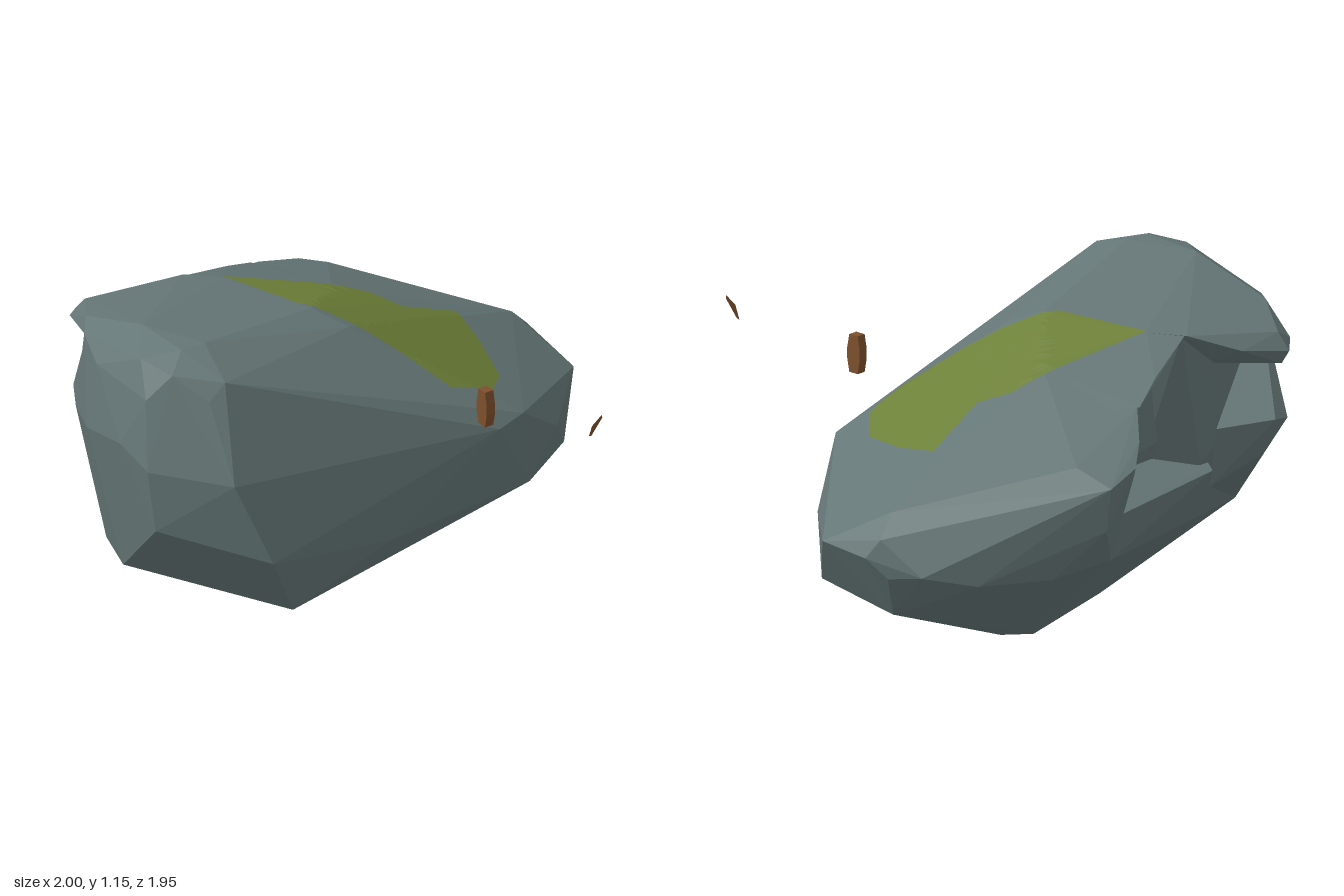
import * as THREE from 'three';
import { ConvexGeometry } from 'three/addons/geometries/ConvexGeometry.js';

const material = (name, color, extra = {}) => Object.assign(new THREE.MeshStandardMaterial({ color, ...extra }), { name });

// Faceted stone block spanning a few corner points
function block(name, points, mat) {
  const mesh = new THREE.Mesh(new ConvexGeometry(points.map(p => new THREE.Vector3(...p))), mat);
  mesh.name = name;
  return mesh;
}

// Thin patch laid over the stone: an outline in x, z filled with rings and dropped onto the surface
function drape(outline, center, rings, targets, lift) {
  const rim = [];
  outline.forEach(([x, z], i) => {
    const [nx, nz] = outline[(i + 1) % outline.length];
    for (let k = 0; k < 6; k++) rim.push([x + (nx - x) * k / 6, z + (nz - z) * k / 6]);
  });
  const ray = new THREE.Raycaster();
  const down = new THREE.Vector3(0, -1, 0);
  const n = rim.length, pos = [], index = [];
  for (let r = 0; r <= rings; r++) for (const [x, z] of rim) {
    const t = r / rings;
    const px = center[0] + (x - center[0]) * t, pz = center[1] + (z - center[1]) * t;
    ray.set(new THREE.Vector3(px, 3, pz), down);
    const hit = ray.intersectObjects(targets)[0];
    pos.push(px, (hit ? hit.point.y : 0.8) + lift, pz);
  }
  for (let r = 0; r < rings; r++) for (let i = 0; i < n; i++) {
    const j = (i + 1) % n, a = r * n + i, b = r * n + j, c = a + n, d = b + n;
    if (r > 0) index.push(a, b, c);
    index.push(b, d, c);
  }
  const geo = new THREE.BufferGeometry();
  geo.setAttribute('position', new THREE.Float32BufferAttribute(pos, 3));
  geo.setIndex(index);
  const flat = geo.toNonIndexed();
  flat.computeVertexNormals();
  return flat;
}

export function createModel() {
  const group = new THREE.Group();
  const stone = material('stone', 0x657676);
  const moss = material('moss', 0x6d8038, { side: THREE.DoubleSide });
  const wood = material('wood', 0x7d502c);

  const rock = new THREE.Group();
  rock.name = 'rock';
  group.add(rock);

  // Corners shared by neighbouring blocks so that their facets run on
  const leftSide = [
    [-0.72, 1.14, -0.48], [-0.78, 1.15, -0.25], [-0.87, 1.11, -0.36], [-0.89, 1.11, -0.2], [-0.95, 1.01, -0.27],
    [-1, 0.76, -0.22], [-0.98, 0.52, -0.2], [-0.86, 0.24, -0.45], [-0.6, 0.15, 0.11],
  ];
  const rightSide = [
    [0.87, 0.21, -0.14], [0.98, 0.38, -0.18], [1, 0.45, -0.1], [0.98, 0.52, -0.15], [0.97, 0.4, -0.31],
  ];
  const underside = [[-0.21, 0, -0.3], [0.34, 0, -0.28], [0.3, 0.01, -0.39], [-0.2, 0.01, -0.38]];
  const backRim = [[0.85, 0.36, -0.47], [0.66, 0.36, -0.66], [0.45, 0.39, -0.78]];
  const flankFoot = [[-0.86, 0.24, -0.45], [-0.75, 0.24, -0.62]];

  // Main mass: front, crest and right end
  rock.add(block('body', [
    ...leftSide, ...rightSide, ...underside,
    [0.2, 0.63, 0.385], [0.33, 0.64, 0.385], [-0.23, 0.32, 0.25],
    [0.44, 0.29, 0.32], [0.6, 0.44, 0.31], [0.93, 0.46, 0.11], [0.77, 0.26, 0.2],
    [0.9, 0.6, -0.15], [0.16, 0.95, -0.35], [0.62, 0.73, -0.2], [-0.13, 1.05, -0.2], [-0.14, 1.03, -0.6],
    [-0.08, 1, -0.07], [-0.69, 1.15, -0.22], [-0.78, 1.09, -0.05], [-0.84, 1.03, -0.07],
    [-0.87, 0.75, 0.07], [-0.77, 0.43, 0.165], [-0.6, 0.6, -0.6], [0.6, 0.6, -0.6], [0, 0.7, -0.53], [0.3, 0.86, -0.58],
  ], stone));

  // Sloping foot of the back, with the ledge under the hollow
  rock.add(block('base', [
    ...underside, ...backRim, ...flankFoot,
    [-0.6, 0.15, 0.11], [-0.95, 0.5, -0.25], [0.87, 0.21, -0.14], [0.97, 0.4, -0.31],
    [0.4, 0.55, -0.8], [0.2, 0.5, -0.77], [-0.2, 0.5, -0.74], [-0.35, 0.48, -0.75], [0, 0.58, -0.5],
  ], stone));

  // Broad flank, overhanging horn and lower spur at the back
  rock.add(block('backFlank', [
    ...leftSide, ...flankFoot,
    [-0.88, 0.75, -0.6], [-0.96, 0.8, -0.38], [-0.75, 0.72, -0.76], [-0.85, 1, -0.58], [-0.74, 1.02, -0.73],
    [-0.6, 1.03, -0.74], [-0.5, 0.7, -0.73], [-0.36, 0.8, -0.66], [-0.35, 0.5, -0.7], [-0.2, 1.02, -0.71],
    [-0.13, 1.05, -0.2], [-0.14, 1.03, -0.6], [-0.2, 0.01, -0.38],
  ], stone));
  rock.add(block('horn', [
    [-0.57, 0.94, -0.94], [-0.49, 0.92, -0.98], [-0.49, 0.87, -0.95], [-0.5, 0.98, -0.93], [-0.33, 0.95, -0.88],
    [-0.74, 1.02, -0.73], [-0.62, 0.88, -0.76], [-0.2, 1.02, -0.73], [-0.66, 1.035, -0.79], [-0.72, 1.14, -0.48],
    [-0.14, 1.03, -0.6], [-0.4, 0.86, -0.72],
  ], stone));
  rock.add(block('lowerSpur', [
    [-0.55, 0.65, -0.94], [-0.48, 0.66, -0.93], [-0.5, 0.52, -0.87], [-0.75, 0.72, -0.76], [-0.34, 0.64, -0.77],
    [-0.35, 0.42, -0.74], [-0.75, 0.24, -0.62], [-0.5, 0.7, -0.74], [-0.74, 0.98, -0.73],
  ], stone));

  // Brow above the hollow
  rock.add(block('brow', [
    [-0.2, 1.02, -0.72], [-0.12, 0.98, -0.72], [0.05, 0.94, -0.74], [0.2, 0.88, -0.76],
    [-0.14, 1.03, -0.6], [0.16, 0.95, -0.35], [0.3, 0.86, -0.6], [0.1, 0.84, -0.6], [-0.2, 0.9, -0.6],
  ], stone));

  // Shoulder at the other side of the hollow
  rock.add(block('shoulder', [
    ...rightSide, ...backRim,
    [0.2, 0.88, -0.75], [0.24, 0.64, -0.76], [0.33, 0.8, -0.83], [0.43, 0.74, -0.87], [0.57, 0.7, -0.85],
    [0.57, 0.54, -0.83], [0.4, 0.55, -0.8], [0.9, 0.6, -0.15], [0.16, 0.95, -0.35], [0.62, 0.73, -0.2],
    [0.3, 0.86, -0.6], [0.55, 0.75, -0.7], [0.34, 0, -0.28], [0.3, 0.01, -0.39],
  ], stone));

  // Moss on the upper slope
  const outline = [[-0.14, -0.6], [0.3, -0.3], [0.35, -0.19], [0.6, -0.15], [0.53, 0.02], [0.42, 0.2],
    [0.28, 0.28], [0.12, 0.23], [0, 0], [-0.14, -0.25]];
  const patch = new THREE.Mesh(drape(outline, [0.12, -0.12], 14, rock.children, 0.006), moss);
  patch.name = 'mossPatch';
  group.add(patch);

  // Loose wood chip with pinched ends
  const side = [[-0.02, -0.07], [0.02, -0.07], [0.03, -0.02], [0.03, 0.02], [0.02, 0.07], [-0.02, 0.07], [-0.03, 0.02], [-0.03, -0.02]];
  const chipGeo = new THREE.ExtrudeGeometry(new THREE.Shape(side.map(p => new THREE.Vector2(...p))), { depth: 0.036, bevelEnabled: false });
  chipGeo.translate(0, 0, -0.018).rotateY(Math.PI / 2 - 0.25);
  const chip = new THREE.Mesh(chipGeo, wood);
  chip.name = 'woodChip';
  chip.position.set(0.027, 0.83, 0.467);
  group.add(chip);

  // Loose splinter, leaning forward
  group.add(block('splinter', [
    [0.03, 0.885, 0.938], [0.038, 0.88, 0.932], [0.036, 0.885, 0.944], [0.03, 0.93, 0.952], [0.046, 0.93, 0.948],
    [0.056, 0.97, 0.974], [0.066, 0.965, 0.966], [0.06, 0.96, 0.974],
  ], wood));

  return group;
}
